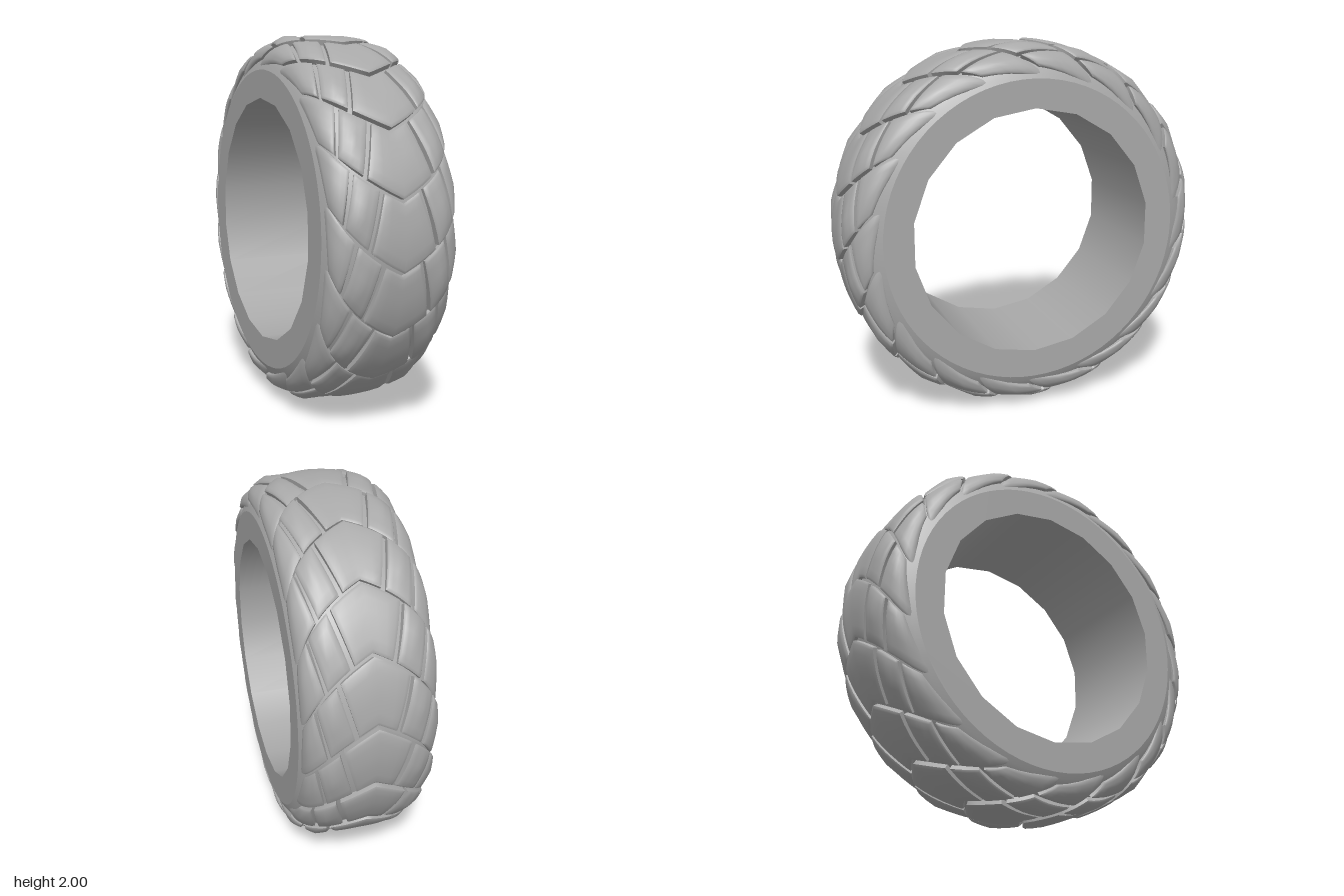
import * as THREE from 'three';

const COUNT = 18, STEP = 20, EDGE = 0.41, SIDE_X = 0.342, BEAD = 0.66;
const rad = THREE.MathUtils.degToRad, lerp = THREE.MathUtils.lerp;

// Half cross-section of the tread: (distance from middle, radius)
const crown = new THREE.CubicBezierCurve(
  new THREE.Vector2(0, 1), new THREE.Vector2(0.2, 1),
  new THREE.Vector2(0.345, 0.97), new THREE.Vector2(SIDE_X, 0.81));

// Point on the crown at signed arc position s, moved out along its normal by h
function section(s, h) {
  const t = Math.min(1, Math.abs(s) / EDGE);
  const p = crown.getPoint(t), d = crown.getTangent(t);
  return [Math.sign(s) * (p.x - d.y * h), p.y + d.x * h];
}

function around(s, degrees, h) {
  const [x, r] = section(s, h), a = rad(degrees);
  return [x, r * Math.sin(a), r * Math.cos(a)];
}

// Chevron sweep in degrees
const sweep = s => 42 * Math.abs(s) + 38 * s * s;

// One tread block: a domed patch with chamfered rim and walls down into the carcass.
// a0..b0 is its leading edge, a1..b1 its trailing edge.
function blockGeometry(a0, b0, a1, b1, dome) {
  const us = [0, 0.06, 0.2, 0.35, 0.5, 0.65, 0.8, 0.94, 1];
  const vs = [0, 0.05, 0.2, 0.4, 0.6, 0.8, 0.95, 1];
  const at = (u, v, h) => {
    const s = lerp(lerp(a0, b0, u), lerp(a1, b1, u), v);
    return around(s, 11.5 + sweep(s) + 0.55 + (STEP - 1.1) * v, h);
  };
  const height = (u, v) => {
    const rim = u === 0 || u === 1 || v === 0 || v === 1 ? -0.007 : 0;
    const peak = (1 - Math.abs(2 * u - 1)) * (v < 0.4 ? v / 0.4 : (1 - v) / 0.6);
    return rim + dome * peak - 0.012 * Math.max(0, (v - 0.3) / 0.7);
  };
  const pos = [], index = [], nu = us.length, nv = vs.length;
  for (const v of vs) for (const u of us) pos.push(...at(u, v, height(u, v)));
  for (let j = 0; j < nv - 1; j++) for (let i = 0; i < nu - 1; i++) {
    const k = j * nu + i;
    index.push(k, k + 1, k + nu + 1, k, k + nu + 1, k + nu);
  }
  // Walls, each side with its own vertices so the rim stays sharp
  const edges = [
    us.map(u => [u, 0]), vs.map(v => [1, v]),
    us.map(u => [1 - u, 1]), vs.map(v => [0, 1 - v])];
  for (const edge of edges) {
    const start = pos.length / 3;
    for (const [u, v] of edge) {
      // snap mirrored rim values so the wall meets the top exactly
      pos.push(...at(u, v, height(u, v)), ...at(u, v, -0.05));
    }
    for (let i = 0; i < edge.length - 1; i++) {
      const k = start + i * 2;
      index.push(k, k + 1, k + 3, k, k + 3, k + 2);
    }
  }
  const g = new THREE.BufferGeometry();
  g.setAttribute('position', new THREE.Float32BufferAttribute(pos, 3));
  g.setIndex(index);
  g.computeVertexNormals();
  return g;
}

export function createModel() {
  const model = new THREE.Group();
  model.name = 'tyre';
  const tyre = new THREE.Group();
  tyre.name = 'tyreBody';
  tyre.position.y = 1;
  model.add(tyre);

  const rubber = new THREE.MeshStandardMaterial({ color: 0xa8a8a8, side: THREE.DoubleSide });
  rubber.name = 'grey rubber';
  const add = (parent, name, geometry) => {
    const mesh = new THREE.Mesh(geometry, rubber);
    mesh.name = name;
    parent.add(mesh);
    return mesh;
  };

  // Carcass: the groove floor under the blocks
  const floor = [];
  for (let i = -16; i <= 16; i++) {
    const t = i / 16;
    const [x, r] = section(t * EDGE, -0.035 * (1 - t ** 6));
    floor.push(new THREE.Vector2(r, x));
  }
  add(tyre, 'carcass', new THREE.LatheGeometry(floor, 72).rotateZ(-Math.PI / 2));

  // Flat sidewalls with an 18-sided opening
  const wall = new THREE.Shape().absarc(0, 0, 0.81, 0, Math.PI * 2);
  const hole = [];
  for (let i = 0; i < COUNT; i++) {
    const a = rad(90 + STEP * i);
    hole.push(new THREE.Vector2(BEAD * Math.cos(a), BEAD * Math.sin(a)));
  }
  wall.holes.push(new THREE.Path(hole));
  for (const side of [-1, 1]) {
    const g = new THREE.ShapeGeometry(wall, 36).rotateY(side * Math.PI / 2);
    add(tyre, side > 0 ? 'leftSidewall' : 'rightSidewall', g.translate(side * SIDE_X, 0, 0));
  }

  // Inner bore
  const bore = new THREE.CylinderGeometry(BEAD, BEAD, SIDE_X * 2, COUNT, 1, true, rad(10));
  add(tyre, 'innerBore', bore.rotateZ(Math.PI / 2));

  // Tread: one chevron row of five blocks, repeated round the wheel
  const row = [['centreBlock', blockGeometry(-0.127, 0.127, -0.066, 0.066, 0.002)]];
  const sideBlocks = [
    ['MiddleBlock', 0.145, 0.25, 0.083, 0.185, 0.012],
    ['ShoulderBlock', 0.268, 0.35, 0.203, EDGE, 0.008]];
  for (const [name, a0, b0, a1, b1, dome] of sideBlocks) {
    row.push(['left' + name, blockGeometry(a0, b0, a1, b1, dome)]);
    row.push(['right' + name, blockGeometry(-b0, -a0, -b1, -a1, dome)]);
  }
  for (let i = 0; i < COUNT; i++) {
    const treadRow = new THREE.Group();
    treadRow.name = 'treadRow' + (i + 1);
    treadRow.rotation.x = rad(STEP * i);
    for (const [name, geometry] of row) add(treadRow, name, geometry);
    tyre.add(treadRow);
  }
  return model;
}
